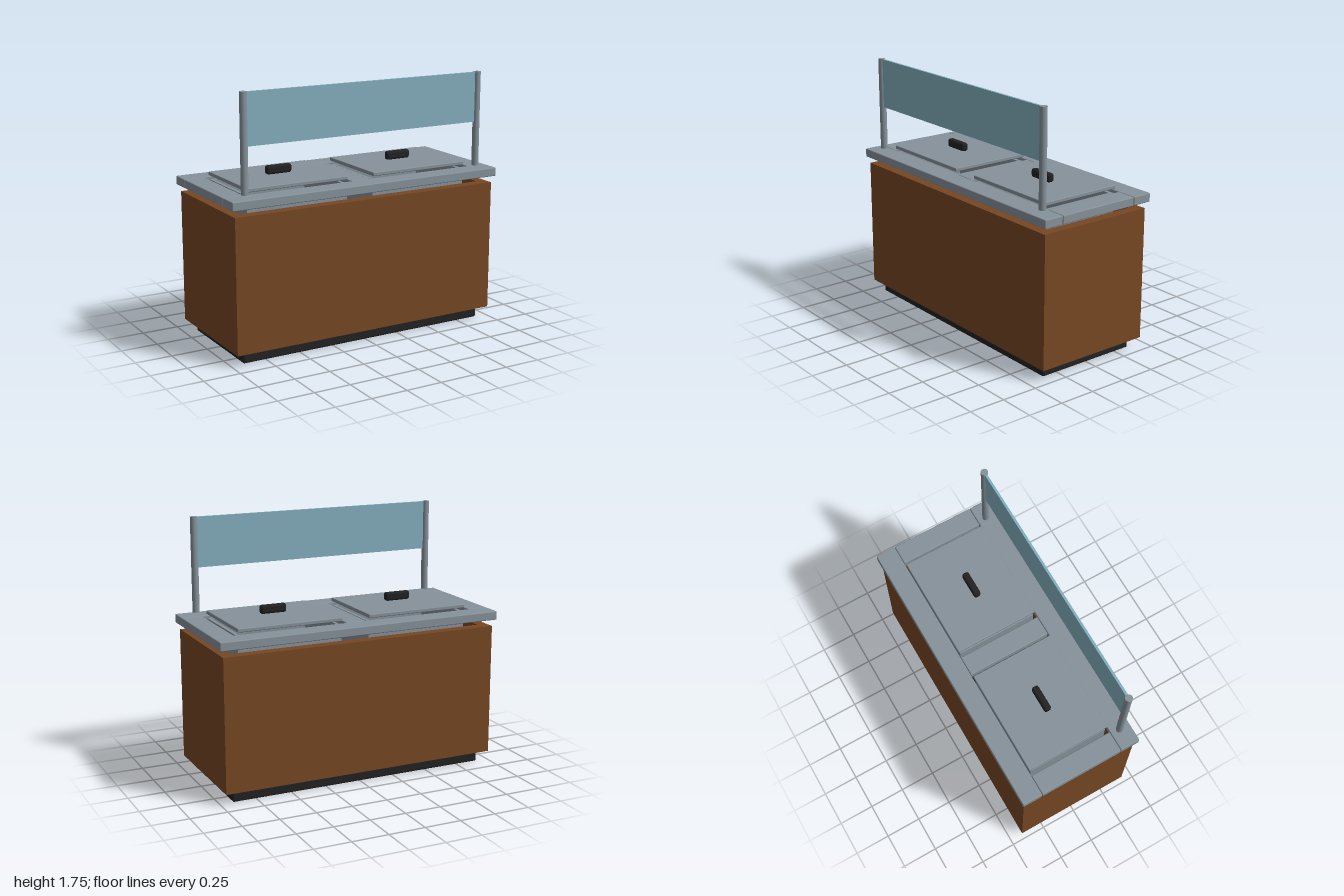
import * as THREE from 'three';
import { RoundedBoxGeometry } from 'three/addons/geometries/RoundedBoxGeometry.js';

const mat = (name, color) => {
  const m = new THREE.MeshStandardMaterial({ color });
  m.name = name;
  return m;
};

export function createModel() {
  const root = new THREE.Group();
  root.name = 'servingCounter';
  const steel = mat('brushedSteel', 0x86929a);
  const wood = mat('brownWood', 0x774723);
  const black = mat('blackPlastic', 0x222222);
  const glass = mat('blueGlass', 0x84b0bf);

  // Box given by its extents on each axis; r > 0 rounds the edges
  const box = (name, material, [x0, x1], [y0, y1], [z0, z1], r = 0, parent = root) => {
    const size = [x1 - x0, y1 - y0, z1 - z0];
    const geo = r ? new RoundedBoxGeometry(...size, 2, r) : new THREE.BoxGeometry(...size);
    const mesh = new THREE.Mesh(geo, material);
    mesh.name = name;
    mesh.position.set((x0 + x1) / 2, (y0 + y1) / 2, (z0 + z1) / 2);
    parent.add(mesh);
    return mesh;
  };

  // Recessed plinth
  box('plinth', black, [-0.912, 0.912], [0, 0.08], [-0.365, 0.365], 0.012);

  // Hollow cabinet: long panels held between full-depth end panels
  const bodyY = [0.08, 0.98];
  box('frontPanel', wood, [-0.905, 0.905], bodyY, [0.34, 0.415]);
  box('backPanel', wood, [-0.905, 0.905], bodyY, [-0.415, -0.34]);
  box('rightPanel', wood, [-0.975, -0.905], bodyY, [-0.415, 0.415]);
  box('leftPanel', wood, [0.905, 0.975], bodyY, [-0.415, 0.415]);

  // Counter frame around the two wells
  const topY = [1.025, 1.085];
  box('frontRail', steel, [-1, 1], topY, [0.295, 0.435], 0.007);
  box('backRail', steel, [-1, 1], topY, [-0.435, -0.295], 0.007);
  box('rightRail', steel, [-1, -0.857], topY, [-0.293, 0.293], 0.007);
  box('leftRail', steel, [0.857, 1], topY, [-0.293, 0.293], 0.007);
  box('centreRail', steel, [-0.07, 0.07], topY, [-0.293, 0.293], 0.007);

  for (const side of [-1, 1]) {
    const label = side > 0 ? 'left' : 'right';
    const unit = new THREE.Group();
    unit.name = label + 'Well';
    unit.position.x = side * 0.463;
    root.add(unit);

    // Open pan hanging in the cabinet
    const panY = [0.75, 1.07];
    box('panFloor', steel, [-0.34, 0.34], [0.75, 0.775], [-0.255, 0.255], 0, unit);
    for (const s of [-1, 1]) {
      const span = (a, b) => (s > 0 ? [a, b] : [-b, -a]);
      box('panEnd', steel, span(0.34, 0.363), panY, [-0.28, 0.28], 0, unit);
      box('panSide', steel, [-0.34, 0.34], panY, span(0.255, 0.28), 0, unit);
    }

    // Lid and handle
    box('lid', steel, [-0.365, 0.365], [1.096, 1.122], [-0.292, 0.292], 0.006, unit);
    box('lidHandle', black, [-0.091, 0.091], [1.128, 1.187], [-0.014, 0.034], 0.016, unit);

    // Post of the sneeze guard
    const post = new THREE.Mesh(new THREE.CylinderGeometry(0.024, 0.024, 0.645, 24), steel);
    post.name = label + 'Post';
    post.position.set(side * 0.877, 1.4245, 0.355);
    root.add(post);
  }

  // Sneeze guard pane
  box('guardPane', glass, [-0.87, 0.87], [1.405, 1.745], [0.347, 0.363]);

  return root;
}
